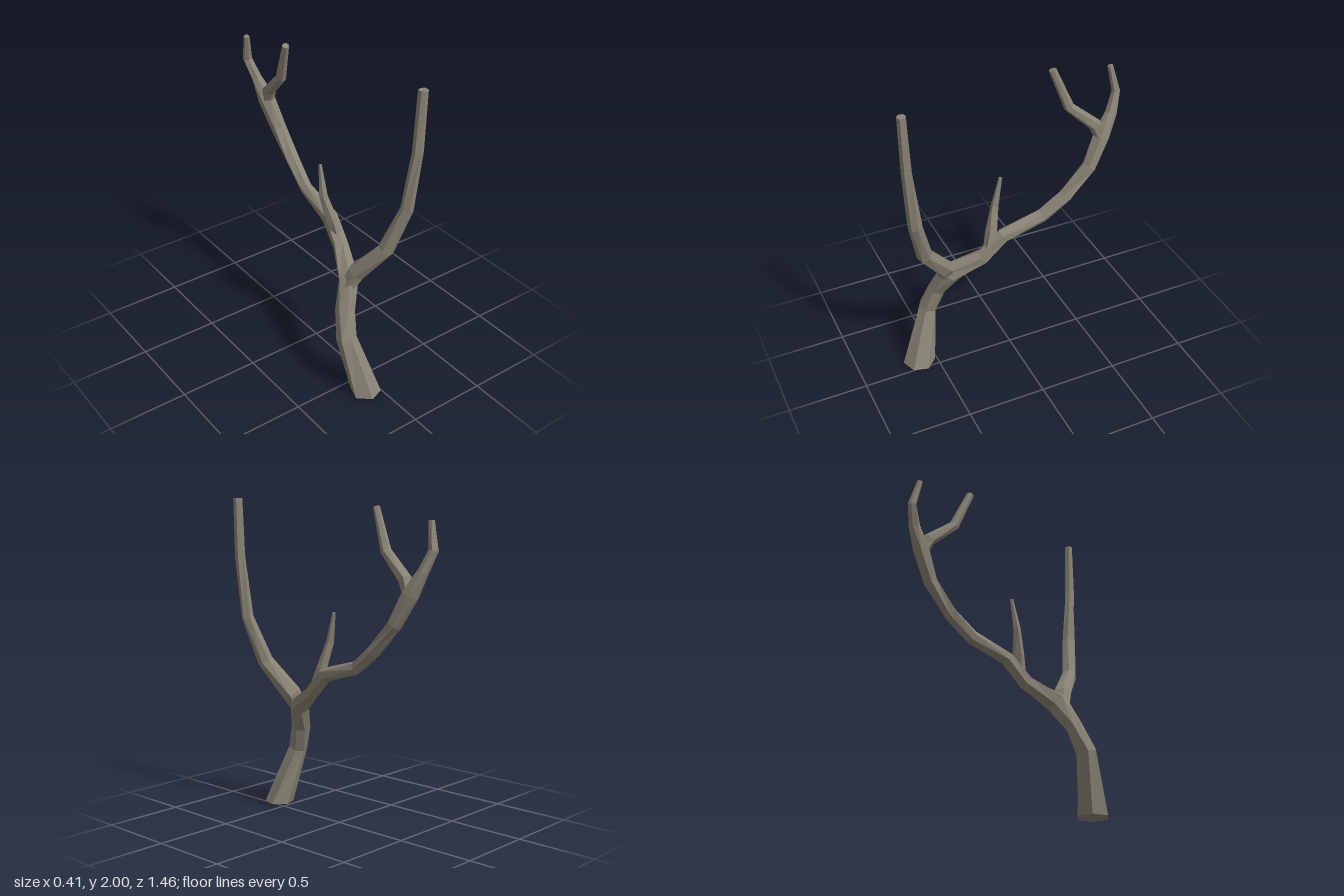
import * as THREE from 'three';

const bark = new THREE.MeshStandardMaterial({ color: 0x8a8475, flatShading: true });
bark.name = 'greyBrownBark';

// Sweeps an uneven polygon along rings of [x, y, z, radius]; level flags make an end horizontal.
function limb(name, rings, sides, levelStart = false, levelEnd = false) {
  const pts = rings.map(r => new THREE.Vector3(r[0], r[1], r[2]));
  const last = pts.length - 1;
  const pos = [], index = [];
  pts.forEach((p, i) => {
    const t = new THREE.Vector3();
    if (i > 0) t.add(p.clone().sub(pts[i - 1]).normalize());
    if (i < last) t.add(pts[i + 1].clone().sub(p).normalize());
    if ((i === 0 && levelStart) || (i === last && levelEnd)) t.set(0, 1, 0);
    t.normalize();
    const u = new THREE.Vector3(1, 0, 0);
    u.addScaledVector(t, -u.dot(t)).normalize();
    const v = t.clone().cross(u);
    for (let k = 0; k < sides; k++) {
      const a = (k / sides) * Math.PI * 2 + 0.3 + Math.sin(i * 1.7) * 0.2;
      const r = rings[i][3] * (1.04 + 0.07 * Math.sin(k * 2.3 + i * 1.9));
      const q = p.clone().addScaledVector(u, Math.cos(a) * r).addScaledVector(v, Math.sin(a) * r);
      pos.push(q.x, q.y, q.z);
    }
  });
  for (let i = 0; i < last; i++) {
    for (let k = 0; k < sides; k++) {
      const a = i * sides + k, b = i * sides + (k + 1) % sides;
      index.push(a, b, b + sides, a, b + sides, a + sides);
    }
  }
  // end caps
  const top = last * sides;
  for (let k = 1; k < sides - 1; k++) {
    index.push(0, k + 1, k, top, top + k, top + k + 1);
  }
  const geo = new THREE.BufferGeometry();
  geo.setAttribute('position', new THREE.Float32BufferAttribute(pos, 3));
  geo.setIndex(index);
  const flat = geo.toNonIndexed();
  flat.computeVertexNormals();
  const mesh = new THREE.Mesh(flat, bark);
  mesh.name = name;
  return mesh;
}

export function createModel() {
  const group = new THREE.Group();
  group.name = 'bareBranch';

  // trunk continuing into the long rear bough and its rear prong
  group.add(limb('trunkAndRearBough', [
    [-0.073, 0, 0.615, 0.096],
    [-0.15, 0.37, 0.51, 0.058],
    [-0.115, 0.53, 0.45, 0.056],
    [-0.04, 0.69, 0.385, 0.066],
    [0.035, 0.805, 0.2, 0.046],
    [0.05, 0.935, 0.07, 0.045],
    [0.06, 1.01, -0.19, 0.04],
    [0.073, 1.125, -0.34, 0.043],
    [0.07, 1.295, -0.495, 0.043],
    [0.045, 1.47, -0.585, 0.052],
    [0.02, 1.6, -0.655, 0.034],
    [-0.015, 1.72, -0.70, 0.027],
    [-0.038, 1.885, -0.665, 0.017],
  ], 6, true));

  // tall front bough
  group.add(limb('frontBough', [
    [-0.07, 0.64, 0.4, 0.045],
    [-0.02, 0.76, 0.435, 0.058],
    [0.07, 0.965, 0.583, 0.046],
    [0.15, 1.25, 0.658, 0.039],
    [0.172, 1.63, 0.695, 0.031],
    [0.178, 2.0, 0.704, 0.026],
  ], 6, false, true));

  // front prong of the rear bough
  group.add(limb('frontProng', [
    [0.05, 1.45, -0.585, 0.036],
    [0.035, 1.555, -0.54, 0.04],
    [0.012, 1.705, -0.375, 0.03],
    [-0.018, 1.955, -0.275, 0.021],
  ], 6));

  // short spike halfway along
  group.add(limb('shortSpike', [
    [0.045, 0.84, 0.16, 0.036],
    [0.02, 0.96, 0.13, 0.036],
    [-0.014, 1.12, 0.093, 0.025],
    [-0.012, 1.315, 0.055, 0.01],
  ], 5));

  return group;
}
